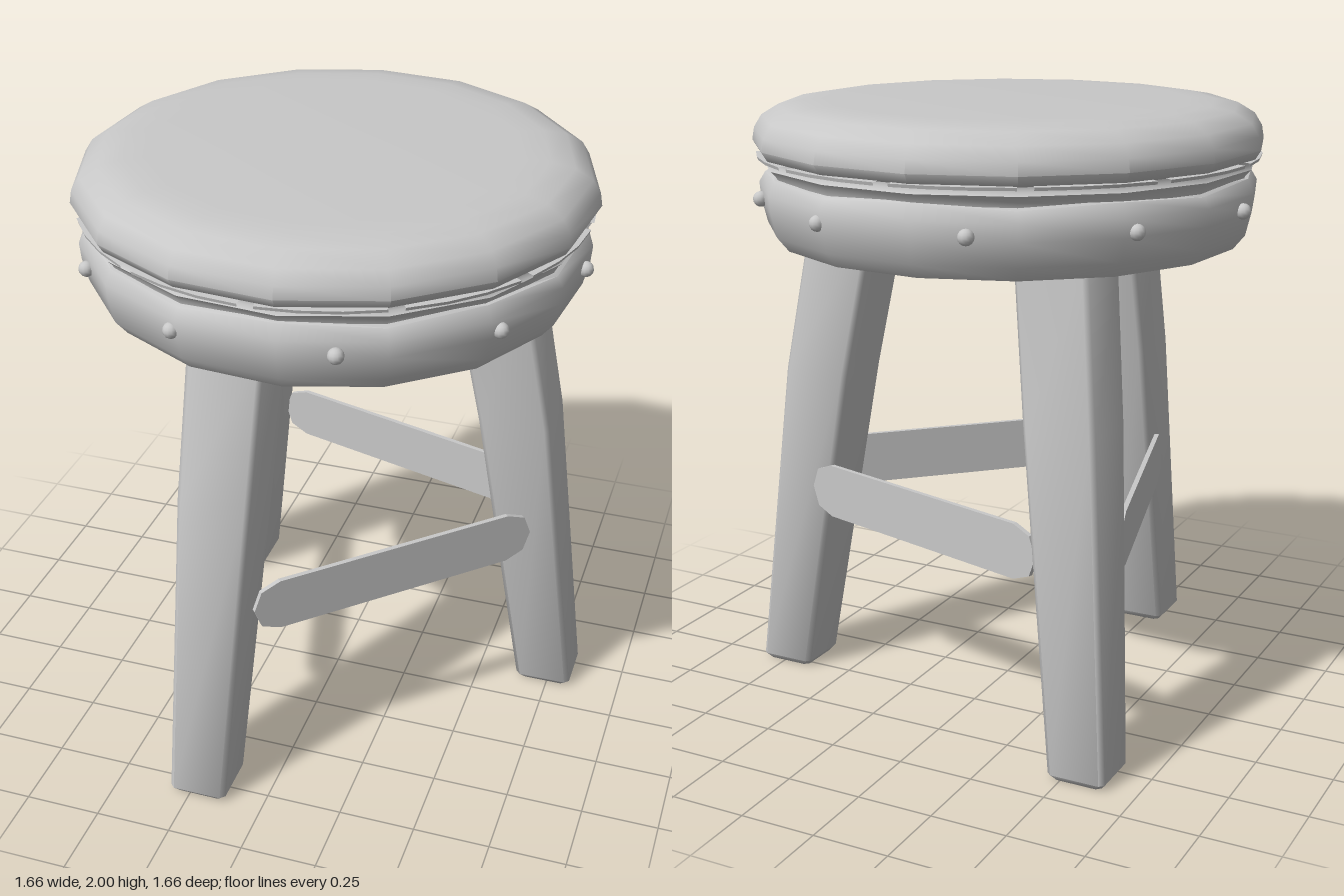
import * as THREE from 'three';
import { toCreasedNormals } from 'three/addons/utils/BufferGeometryUtils.js';

const V2 = (p) => new THREE.Vector2(p[0], p[1]);

// Bevelled-square loft: each section is [x, y, z, half width]
function loftLeg(sections, bevel) {
  const pos = [], index = [], n = 8;
  for (const [cx, cy, cz, h] of sections) {
    const b = h - bevel;
    const ring = [[h, b], [h, -b], [b, -h], [-b, -h], [-h, -b], [-h, b], [-b, h], [b, h]];
    for (const [x, z] of ring) pos.push(cx + x, cy, cz + z);
  }
  for (let i = 0; i < sections.length - 1; i++) {
    for (let j = 0; j < n; j++) {
      const a = i * n + j, b = i * n + (j + 1) % n;
      index.push(a, b, b + n, a, b + n, a + n);
    }
  }
  const top = (sections.length - 1) * n;
  for (let j = 1; j < n - 1; j++) index.push(0, j + 1, j, top, top + j, top + j + 1);
  const geo = new THREE.BufferGeometry();
  geo.setAttribute('position', new THREE.Float32BufferAttribute(pos, 3));
  geo.setIndex(index);
  geo.computeVertexNormals();
  return toCreasedNormals(geo, 0.9);
}

export function createModel() {
  const model = new THREE.Group();
  const grey = new THREE.MeshStandardMaterial({ color: 0xc8c8c8 });
  grey.name = 'plain grey';

  const add = (geo, name, parent = model) => {
    const mesh = new THREE.Mesh(geo, grey);
    mesh.name = name;
    parent.add(mesh);
    return mesh;
  };

  // Seat: sixteen-sided lower band and cushion
  const seat = new THREE.Group();
  seat.name = 'seat';
  seat.position.set(-0.01, 0, -0.01);
  model.add(seat);

  const band = new THREE.LatheGeometry([
    [0, 1.56], [0.745, 1.56], [0.782, 1.605], [0.8, 1.68], [0.805, 1.735],
    [0.785, 1.775], [0.75, 1.785], [0, 1.785],
  ].map(V2), 16);
  // Gently uneven upper edge of the band
  const p = band.attributes.position;
  for (let i = 0; i < p.count; i++) {
    if (Math.abs(p.getY(i) - 1.775) < 0.003) {
      p.setY(i, 1.775 + 0.007 * Math.cos(8 * Math.atan2(p.getX(i), p.getZ(i))));
    }
  }
  add(toCreasedNormals(band, 0.8), 'seatBand', seat).rotation.y = 0.105;

  const cushion = new THREE.LatheGeometry([
    [0, 1.77], [0.77, 1.77], [0.775, 1.79], [0.795, 1.81], [0.785, 1.822],
    [0.785, 1.835], [0.805, 1.842], [0.822, 1.87], [0.815, 1.91], [0.79, 1.95],
    [0.735, 1.983], [0.66, 1.996], [0.58, 2], [0, 2],
  ].map(V2), 16);
  add(toCreasedNormals(cushion, 0.8), 'cushion', seat).rotation.y = 0.105;

  // Seam strips in the groove under the cushion
  for (let i = 0; i < 12; i++) {
    const strip = new THREE.LatheGeometry([
      [0.77, 1.826], [0.805, 1.828], [0.808, 1.838], [0.77, 1.84],
    ].map(V2), 3, i * Math.PI / 6 + 0.03, Math.PI / 6 - 0.06);
    add(toCreasedNormals(strip, 0.6), 'seamStrip', seat);
  }

  // Ten round studs
  for (let i = 0; i < 10; i++) {
    const a = i * Math.PI / 5;
    add(new THREE.SphereGeometry(0.025, 12, 8), 'stud', seat)
      .position.set(0.797 * Math.cos(a), 1.695, 0.797 * Math.sin(a));
  }

  // Three splayed legs with a slight outward bow: foot, middle and top centres
  const legs = [
    { foot: [-0.555, -0.555], mid: [-0.45, -0.45], top: [-0.39, -0.385] },
    { foot: [-0.22, 0.735], mid: [-0.172, 0.59], top: [-0.15, 0.5] },
    { foot: [0.735, -0.197], mid: [0.588, -0.155], top: [0.495, -0.13] },
  ];
  for (const { foot, mid, top } of legs) {
    add(loftLeg([
      [foot[0], 0, foot[1], 0.08],
      [foot[0], 0.02, foot[1], 0.096],
      [mid[0], 1.08, mid[1], 0.118],
      [top[0], 1.57, top[1], 0.121],
    ], 0.015), 'leg');
  }

  // Thin stretchers with pointed ends, set outward of the leg centres
  const half = [[0.505, 0.69], [0.48, 0.755], [0.415, 0.78]];
  const outline = new THREE.Shape([
    ...half,
    ...half.map(([x, y]) => [-x, y]).reverse(),
    [-0.48, 0.625], [-0.415, 0.6], [0.415, 0.6], [0.48, 0.625],
  ].map(V2));
  const plank = new THREE.ExtrudeGeometry(outline, { depth: 0.016, bevelEnabled: false });
  plank.translate(0, 0, -0.008);
  const at = [[-0.49, -0.485], [-0.19, 0.64], [0.64, -0.165]];
  for (let i = 0; i < 3; i++) {
    const a = at[i], b = at[(i + 1) % 3];
    const mx = (a[0] + b[0]) / 2, mz = (a[1] + b[1]) / 2;
    const out = 1 + 0.11 / Math.hypot(mx, mz);
    const stretcher = add(plank, 'stretcher');
    stretcher.position.set(mx * out, 0, mz * out);
    stretcher.rotation.y = Math.atan2(a[1] - b[1], b[0] - a[0]);
  }

  return model;
}
